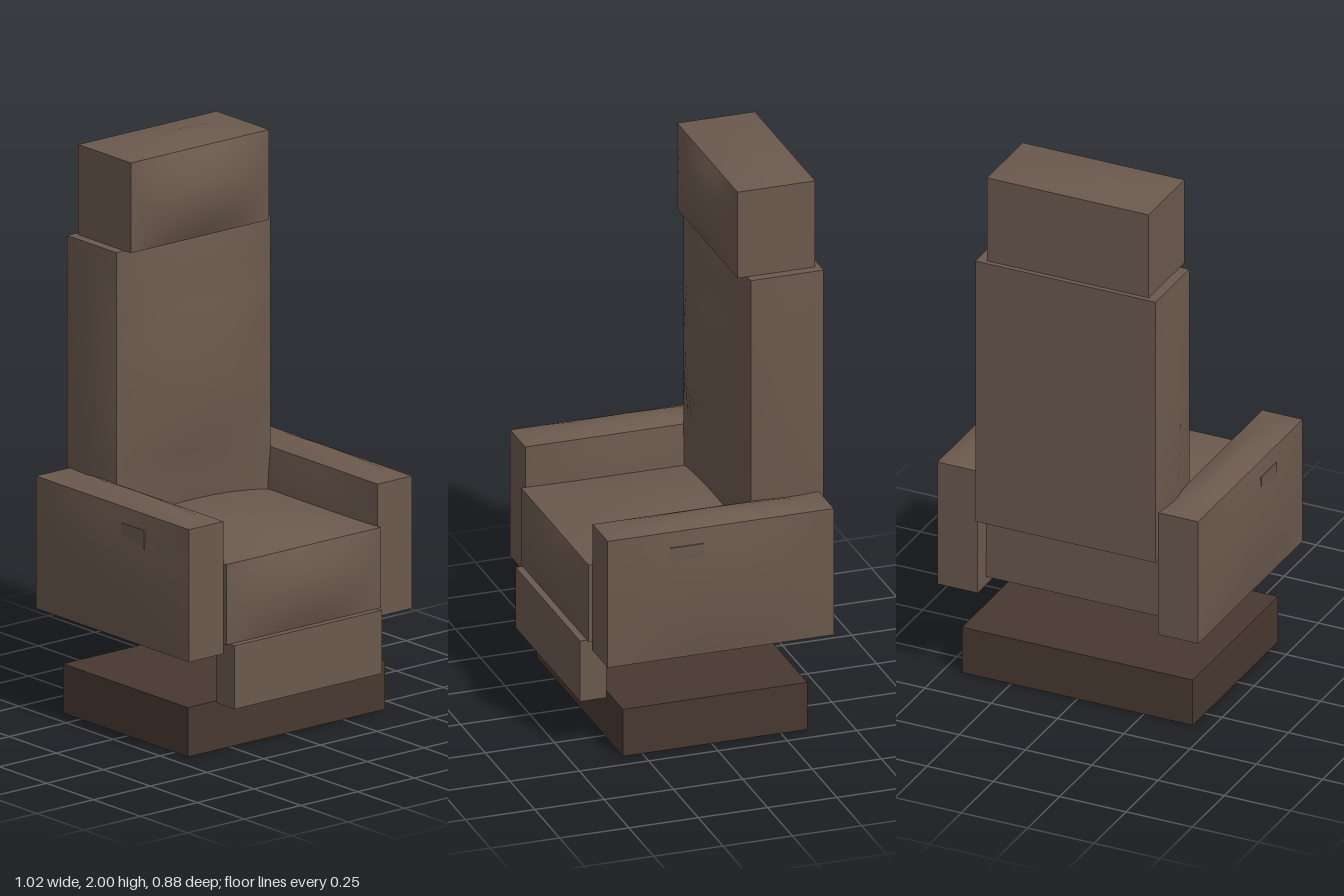
import * as THREE from 'three';

const upholstery = new THREE.MeshStandardMaterial({ color: 0x6b594d });
upholstery.name = 'brownUpholstery';
const plinth = new THREE.MeshStandardMaterial({ color: 0x483830 });
plinth.name = 'darkBrownBase';

// Box from its lower and upper corners
function block(name, min, max, material, segments = [1, 1, 1]) {
  const size = max.map((v, i) => v - min[i]);
  const mesh = new THREE.Mesh(new THREE.BoxGeometry(...size, ...segments), material);
  mesh.position.set(...max.map((v, i) => (v + min[i]) / 2));
  mesh.name = name;
  return mesh;
}

const dome = t => 1 - t * t; // t runs from -1 to 1

// Padded block: chosen faces swell in the middle while their edges stay straight.
// bulge(axis, sign, a) gives the swell of a face; a holds the position as -1..1 per axis.
function cushion(name, min, max, segments, bulge) {
  const mesh = block(name, min, max, upholstery, segments);
  const { position: pos, normal } = mesh.geometry.attributes;
  const half = max.map((v, i) => (v - min[i]) / 2);
  for (let i = 0; i < pos.count; i++) {
    const p = [pos.getX(i), pos.getY(i), pos.getZ(i)];
    const n = [normal.getX(i), normal.getY(i), normal.getZ(i)];
    const axis = n.findIndex(v => Math.abs(v) > 0.5);
    const a = p.map((v, k) => v / half[k]);
    const [u, v] = [0, 1, 2].filter(k => k !== axis);
    p[axis] += n[axis] * bulge(axis, n[axis], a) * dome(a[u]) * dome(a[v]);
    pos.setXYZ(i, ...p);
  }
  mesh.geometry.computeVertexNormals();
  return mesh;
}

export function createModel() {
  const chair = new THREE.Group();
  chair.name = 'armchair';

  // Base and footrest
  chair.add(block('base', [-0.435, 0, -0.345], [0.435, 0.175, 0.32], plinth));
  chair.add(block('footrest', [-0.325, 0.175, 0.34], [0.325, 0.4, 0.435], upholstery));

  // Seat, padded on top and in front
  chair.add(cushion('seat', [-0.34, 0.4, -0.36], [0.34, 0.685, 0.41], [12, 8, 8],
    (axis, sign) => (sign < 0 ? 0 : [0, 0.045, 0.03][axis])));

  // Backrest with swollen sides and two lumbar ridges in front
  const ridges = [0, 0.02, 0.02, 0.055, 0.035, 0.05, 0.02, 0.02, 0]; // bottom to top
  chair.add(cushion('backrest', [-0.34, 0.65, -0.438], [0.34, 1.655, -0.175], [12, 8, 2],
    (axis, sign, a) => {
      if (axis === 0) return 0.03;
      if (axis === 1 || sign < 0) return 0;
      const t = a[1];
      return ridges[Math.round((t + 1) * 4)] / Math.max(dome(t), 0.01);
    }));

  // Headrest, padded on top and in front
  chair.add(cushion('headrest', [-0.305, 1.655, -0.42], [0.305, 1.975, -0.14], [12, 8, 2],
    (axis, sign) => (sign < 0 ? 0 : [0, 0.025, 0.047][axis])));

  // Armrests, each with a small control panel let into the outer side
  for (const side of [-1, 1]) {
    const span = [side * 0.34, side * 0.492].sort((p, q) => p - q);
    const name = side > 0 ? 'left' : 'right';
    chair.add(cushion(name + 'Armrest', [span[0], 0.365, -0.42], [span[1], 0.835, 0.395], [4, 8, 8],
      (axis, sign) => (axis === 0 ? 0.018 : axis === 1 && sign > 0 ? 0.023 : 0)));
    const panel = [side * 0.49, side * 0.503].sort((p, q) => p - q);
    chair.add(block(name + 'ControlPanel', [panel[0], 0.71, 0.05], [panel[1], 0.78, 0.17], upholstery));
  }
  return chair;
}
